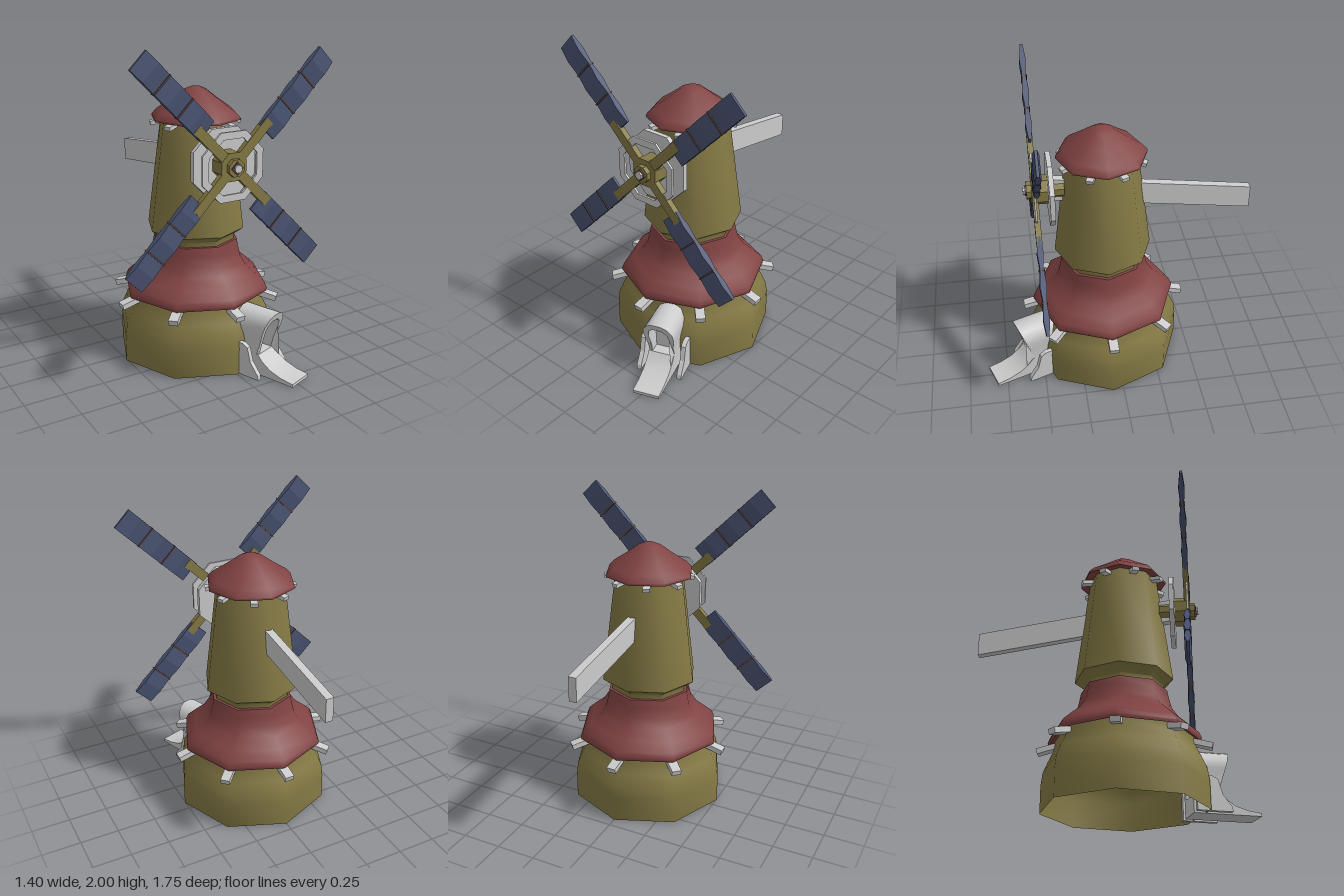
import * as THREE from 'three';
import { toCreasedNormals } from 'three/addons/utils/BufferGeometryUtils.js';

const mat = (name, color, side = THREE.DoubleSide) => {
  const m = new THREE.MeshStandardMaterial({ color, side });
  m.name = name;
  return m;
};

export function createModel() {
  const olive = mat('olive wall', 0x857a45);
  const red = mat('red roof', 0x824343);
  const blue = mat('blue sail', 0x4a5473);
  const stone = mat('pale stone', 0xcccccc);
  const brown = mat('brown batten', 0x5c443e);

  const model = new THREE.Group();
  model.name = 'windmill';
  const CZ = 0.065; // tower axis
  const HUB_Y = 1.3;

  const add = (parent, name, geometry, material) => {
    const m = new THREE.Mesh(geometry, material);
    m.name = name;
    parent.add(m);
    return m;
  };
  const vecs = (pts) => pts.map(([x, y]) => new THREE.Vector2(x, y));
  const box = (w, h, d) => new THREE.BoxGeometry(w, h, d);
  const extrude = (shape, depth) =>
    new THREE.ExtrudeGeometry(shape, { depth, bevelEnabled: false });
  // side profile given as (z, y), extruded across x and centred
  const sideProfile = (pts, width) =>
    extrude(new THREE.Shape(vecs(pts)), width).translate(0, 0, -width / 2).rotateY(-Math.PI / 2);

  // ----- eight-sided tower -----
  const tower = new THREE.Group();
  tower.name = 'tower';
  tower.position.z = CZ;
  model.add(tower);
  const turned = (name, pts, material) =>
    add(tower, name, toCreasedNormals(new THREE.LatheGeometry(vecs(pts), 8), 0.95), material);

  turned('baseWall', [[0.505, 0], [0.505, 0.17], [0.495, 0.25], [0.465, 0.32], [0.435, 0.38], [0.43, 0.44]], olive);
  turned('lowerRoof', [[0.42, 0.445], [0.465, 0.42], [0.47, 0.44], [0.455, 0.475], [0.4, 0.525],
    [0.335, 0.58], [0.295, 0.64], [0.28, 0.7], [0.27, 0.755], [0, 0.757]], red);
  turned('upperWall', [[0.25, 0.75], [0.25, 0.785], [0.31, 0.83], [0.22, 1.54]], olive);
  turned('cap', [[0.2, 1.53], [0.28, 1.515], [0.28, 1.528], [0.245, 1.565], [0.15, 1.63],
    [0.07, 1.69], [0.03, 1.707], [0, 1.71]], red);

  // stone brackets below both roofs
  const brackets = (name, radius, y, size, offset, tilt) => {
    for (let i = 0; i < 8; i++) {
      const pivot = new THREE.Group();
      pivot.name = name;
      pivot.rotation.y = (i + offset) * Math.PI / 4;
      const b = add(pivot, name, box(...size), stone);
      b.position.set(0, y, radius);
      b.rotation.x = tilt;
      tower.add(pivot);
    }
  };
  brackets('lowerBracket', 0.46, 0.4, [0.06, 0.035, 0.15], 0, 0.25);
  brackets('capBracket', 0.235, 1.5, [0.045, 0.025, 0.09], 0.5, 0.2);

  // ----- tail vane running through the tower -----
  add(model, 'tailVane', sideProfile([[0.38, 1.23], [0.38, 1.38], [-0.88, 1.2], [-0.88, 1.05]], 0.05), stone);

  // ----- hub and sails -----
  const rotor = new THREE.Group();
  rotor.name = 'rotor';
  rotor.position.y = HUB_Y;
  model.add(rotor);
  const drum = (name, r, z0, z1, material, sides = 8) =>
    add(rotor, name, new THREE.CylinderGeometry(r, r, z1 - z0, sides).toNonIndexed()
      .rotateX(Math.PI / 2).rotateZ(sides === 8 ? Math.PI / 8 : 0)
      .translate(0, 0, (z0 + z1) / 2), material);
  const flat = (mesh) => { mesh.geometry.computeVertexNormals(); return mesh; };
  flat(drum('backDisc', 0.232, 0.37, 0.4, stone));
  flat(drum('axle', 0.055, 0.3, 0.53, olive));
  flat(drum('hub', 0.092, 0.4, 0.5, olive));
  flat(drum('hubPin', 0.04, 0.5, 0.538, brown, 4));
  flat(drum('hubCap', 0.025, 0.53, 0.55, stone));

  const octagon = (r) => Array.from({ length: 8 }, (_, i) => {
    const a = (i + 0.5) * Math.PI / 4;
    return [r * Math.cos(a), r * Math.sin(a)];
  });
  const ringShape = new THREE.Shape(vecs(octagon(0.225)));
  ringShape.holes.push(new THREE.Path(vecs(octagon(0.178))));
  add(rotor, 'frontRing', extrude(ringShape, 0.014).translate(0, 0, 0.478), stone);

  // three shallow billows along each sail: distance, half thickness
  const half = [[0.29, 0.008], [0.39, 0.02], [0.49, 0.011], [0.59, 0.022], [0.69, 0.011], [0.79, 0.02], [0.887, 0.008]];
  const outline = [...half, ...half.map(([d, t]) => [d, -t]).reverse()];
  const sailGeo = extrude(new THREE.Shape(vecs(outline)), 0.14)
    .translate(0, 0, -0.07).rotateX(Math.PI / 2);
  for (let i = 0; i < 4; i++) {
    const blade = new THREE.Group();
    blade.name = 'blade';
    blade.position.z = 0.48;
    blade.rotation.z = Math.PI / 4 + i * Math.PI / 2;
    rotor.add(blade);
    add(blade, 'bladeArm', box(0.3, 0.06, 0.036), olive).position.x = 0.2;
    add(blade, 'sail', sailGeo, blue).position.y = -0.036;
    for (const d of [0.49, 0.69])
      add(blade, 'batten', box(0.01, 0.145, 0.036), brown).position.set(d, -0.036, 0);
  }

  // ----- entrance porch, turned toward the model's left -----
  const porch = new THREE.Group();
  porch.name = 'porch';
  porch.position.z = CZ;
  porch.rotation.y = 0.34;
  model.add(porch);

  // arched hood whose front edge leans outward with height
  const arch = [[-0.085, 0], [-0.085, 0.12], [-0.085, 0.2], [-0.1, 0.28], [-0.097, 0.33], [-0.07, 0.375], [-0.03, 0.395]];
  const inner = [[-0.06, 0.11], [-0.06, 0.2], [-0.068, 0.28], [-0.06, 0.325], [-0.03, 0.35]];
  const mirrored = (pts) => [...pts, ...pts.map(([x, y]) => [-x, y]).reverse()];
  const hoodShape = new THREE.Shape(vecs(mirrored(arch)));
  hoodShape.holes.push(new THREE.Path(vecs(mirrored(inner))));
  const hood = extrude(hoodShape, 1);
  const p = hood.attributes.position;
  for (let i = 0; i < p.count; i++) {
    const y = p.getY(i);
    const front = y < 0.12 ? 0.62 - y * 0.55 : 0.555 + (y - 0.12) * 0.32;
    p.setZ(i, p.getZ(i) > 0.5 ? front : 0.4);
  }
  hood.computeVertexNormals();
  add(porch, 'hood', toCreasedNormals(hood, 0.7), stone);
  add(porch, 'door', box(0.15, 0.27, 0.02), stone).position.set(0, 0.23, 0.49);

  add(porch, 'ramp', toCreasedNormals(sideProfile([[0.42, 0], [0.825, 0], [0.825, 0.02], [0.74, 0.03],
    [0.66, 0.055], [0.6, 0.095], [0.57, 0.13], [0.42, 0.13]], 0.17), 0.7), stone);

  for (const s of [-1, 1])
    add(porch, 'buttress', sideProfile([[0.4, 0], [0.62, 0], [0.615, 0.03], [0.56, 0.1],
      [0.535, 0.19], [0.5, 0.21], [0.4, 0.21]], 0.03), stone).position.x = s * 0.135;

  return model;
}
